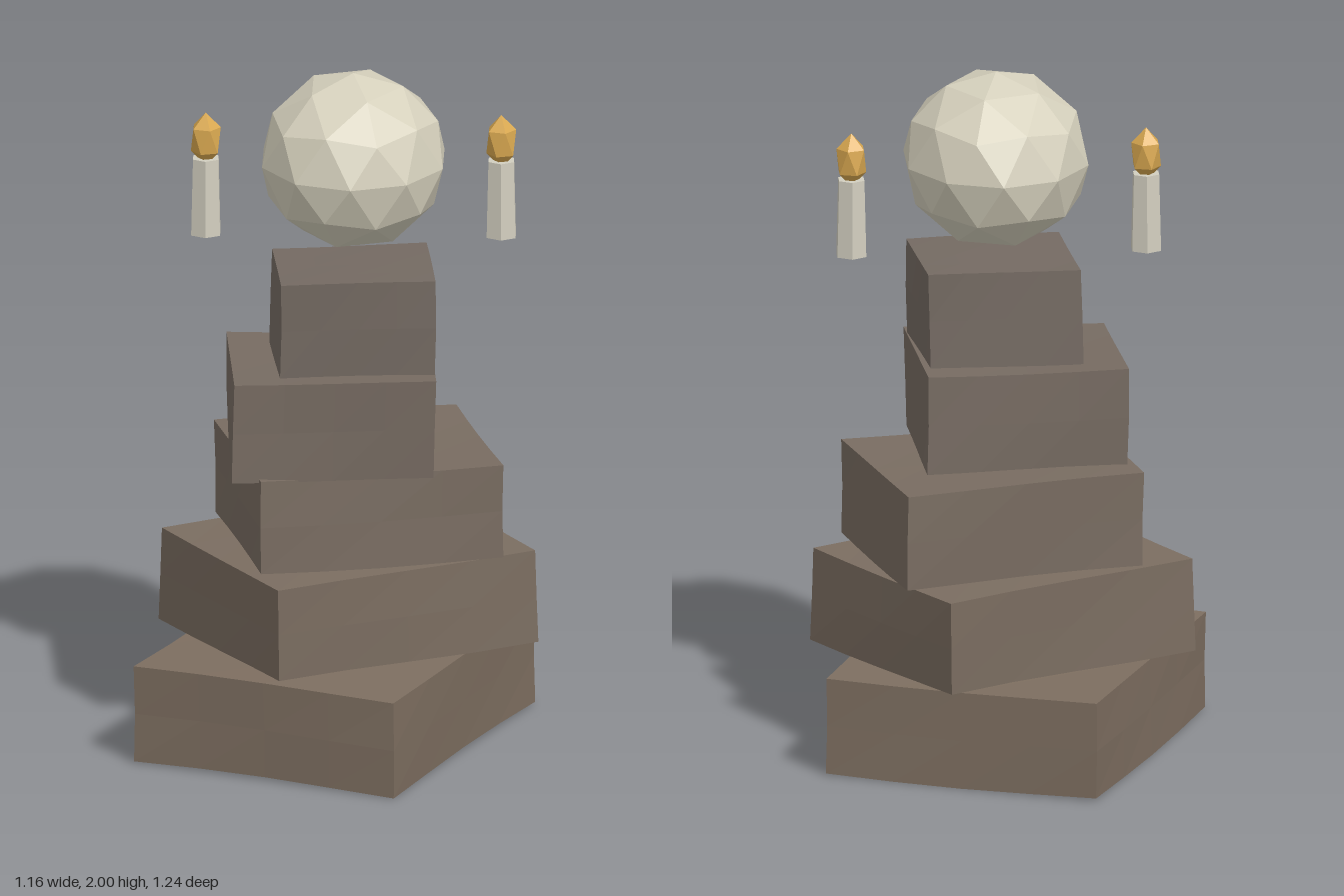
import * as THREE from 'three';

const material = (color) => new THREE.MeshStandardMaterial({ color, flatShading: true });

function addMesh(parent, name, geometry, mat, x, y, z) {
  const mesh = new THREE.Mesh(geometry, mat);
  mesh.name = name;
  mesh.position.set(x, y, z);
  parent.add(mesh);
  return mesh;
}

// Roughly hewn block: a subdivided box with a gentle wobble
function blockGeometry(width, height, depth, phase) {
  const geometry = new THREE.BoxGeometry(width, height, depth, 4, 2, 4);
  const p = geometry.attributes.position;
  for (let i = 0; i < p.count; i++) {
    const x = p.getX(i), y = p.getY(i), z = p.getZ(i);
    p.setXYZ(i,
      x + 0.004 * Math.sin(9 * y + 4 * z + phase),
      y + 0.005 * Math.sin(5 * x + 4 * z + phase),
      z + 0.004 * Math.sin(8 * y + 5 * x + phase));
  }
  geometry.computeVertexNormals();
  return geometry;
}

// Faceted ball with one corner pointing straight up
function facetedBall(detail, rx, ry, rz) {
  const tilt = Math.atan(2 / (1 + Math.sqrt(5)));
  return new THREE.IcosahedronGeometry(1, detail).rotateZ(-tilt).scale(rx, ry, rz);
}

export function createModel() {
  const model = new THREE.Group();
  model.name = 'candleShrine';

  // Stacked blocks: width, depth, bottom, top, centre x, centre z, turn
  const blocks = [
    [0.82, 0.99, 0.005, 0.29, 0, 0, -0.398],
    [0.845, 0.71, 0.305, 0.58, 0.04, -0.03, 0.527],
    [0.715, 0.605, 0.588, 0.866, 0.07, -0.03, 0.253],
    [0.58, 0.49, 0.862, 1.155, -0.007, 0.075, 0.06],
    [0.445, 0.37, 1.157, 1.438, 0.055, 0.082, 0.1],
  ];
  const warm = new THREE.Color(0x7d6e60), cool = new THREE.Color(0x746a62);
  blocks.forEach(([w, d, y0, y1, x, z, turn], i) => {
    const mat = material(warm.clone().lerp(cool, i / 4));
    const block = addMesh(model, 'stoneBlock' + (i + 1),
      blockGeometry(w, y1 - y0, d, i * 1.7), mat, x, (y0 + y1) / 2, z);
    block.rotation.y = turn;
  });

  // Pale faceted orb hovering over the stack
  addMesh(model, 'orb', facetedBall(1, 0.273, 0.257, 0.312),
    material(0xd6d1bd), 0.055, 1.743, 0.032);

  // Floating candles on either side
  const wax = material(0xd2cebf), fire = material(0xd9a850);
  for (const [side, x] of [['left', 0.478], ['right', -0.371]]) {
    const candle = new THREE.Group();
    candle.name = side + 'Candle';
    candle.position.set(x, 0, -0.055);
    addMesh(candle, 'waxStick', new THREE.CylinderGeometry(0.042, 0.048, 0.228, 6), wax, 0, 1.6, 0);
    addMesh(candle, 'flame', facetedBall(0, 0.048, 0.08, 0.048), fire, 0, 1.77, 0);
    model.add(candle);
  }

  return model;
}
